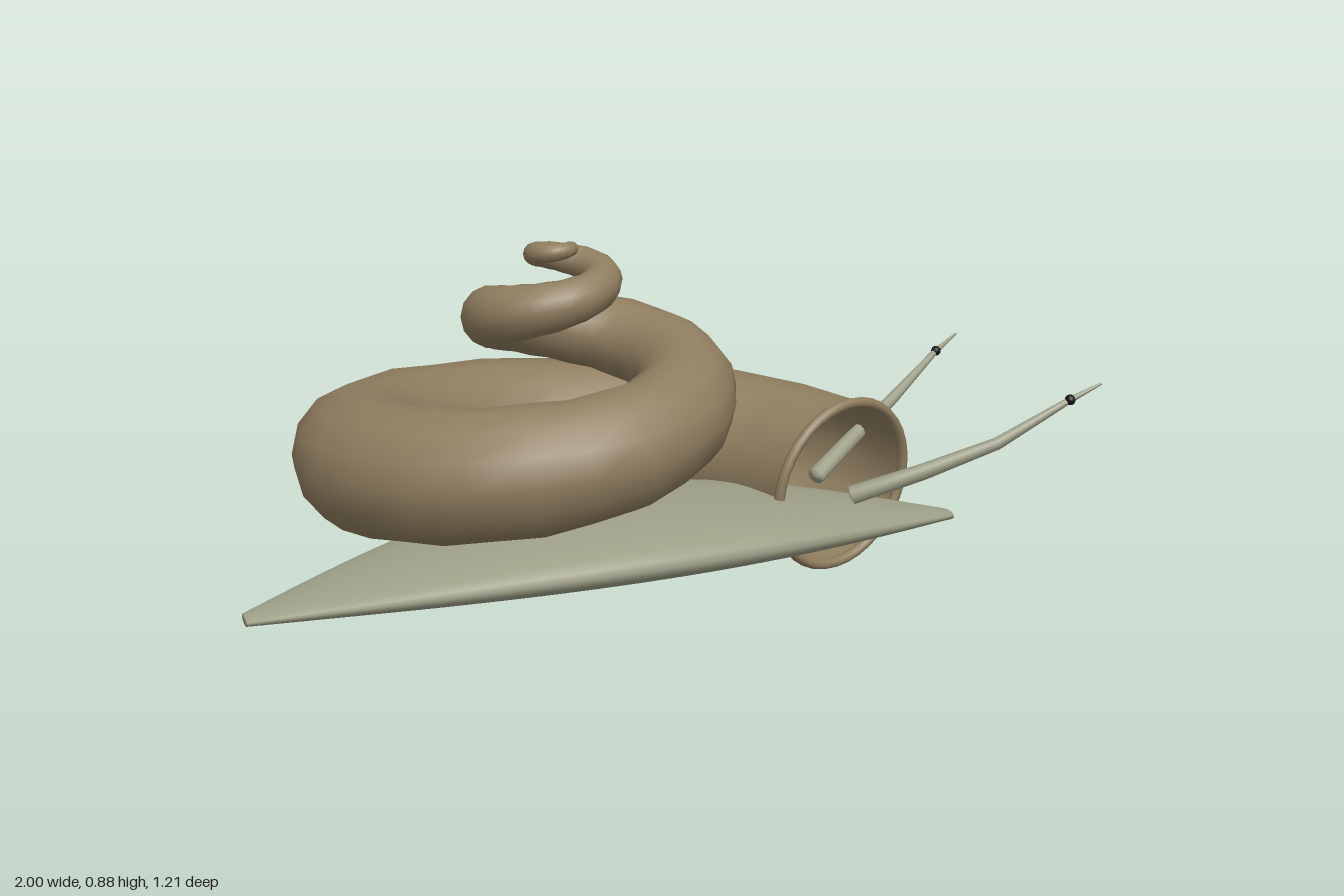
import * as THREE from 'three';

const V = (x, y, z) => new THREE.Vector3(x, y, z);

// Skin a list of closed rings (each an array of points) with smooth normals
function loft(rings) {
  const n = rings[0].length, index = [];
  for (let i = 0; i < rings.length - 1; i++) {
    for (let j = 0; j < n; j++) {
      const a = i * n + j, b = i * n + (j + 1) % n;
      index.push(a, b, a + n, b, b + n, a + n);
    }
  }
  const geo = new THREE.BufferGeometry().setFromPoints(rings.flat());
  geo.setIndex(index);
  geo.computeVertexNormals();
  return geo;
}

// Sweep a circle of varying radius along a list of points
function sweep(points, radii, sides) {
  return loft(points.map((p, i) => {
    const t = points[Math.min(i + 1, points.length - 1)].clone()
      .sub(points[Math.max(i - 1, 0)]).normalize();
    const e1 = V(0, 1, 0).cross(t).normalize();
    const e2 = t.clone().cross(e1);
    return Array.from({ length: sides }, (_, j) => {
      const a = j / sides * Math.PI * 2;
      return p.clone().addScaledVector(e1, radii[i] * Math.cos(a))
        .addScaledVector(e2, radii[i] * Math.sin(a));
    });
  }));
}

export function createModel() {
  const group = new THREE.Group();
  const shellMat = new THREE.MeshStandardMaterial({ color: 0x8f7d5f, side: THREE.DoubleSide });
  const bodyMat = new THREE.MeshStandardMaterial({ color: 0x9fa088 });
  const eyeMat = new THREE.MeshStandardMaterial({ color: 0x111111 });
  const add = (name, geo, mat, parent = group) => {
    const mesh = new THREE.Mesh(geo, mat);
    mesh.name = name;
    parent.add(mesh);
    return mesh;
  };

  // Shell: a tapering coil, given per quarter turn from mouth to apex
  const dist = [.74, .55, .43, .34, .255, .185, .143, .112, .087, .068, .052, .038, .02];
  const height = [.225, .31, .41, .49, .595, .665, .725, .77, .81, .838, .855, .864, .868];
  const radius = [.21, .18, .153, .13, .1, .08, .066, .05, .04, .031, .023, .017, .01];
  const table = new THREE.CatmullRomCurve3(
    dist.map((d, i) => V(d, height[i], radius[i])), false, 'catmullrom');
  const steps = 72, path = [], radii = [];
  for (let i = 0; i <= steps; i++) {
    const s = table.getPoint(i / steps), a = i / steps * 6 * Math.PI;
    path.push(V(-.26 + s.x * Math.cos(a), s.y, .135 - s.x * Math.sin(a)));
    radii.push(s.z * (1 + (i % 2 ? -.02 : .015) * Math.min(1, i / 8)));
  }
  path.push(path[steps].clone().lerp(path[steps - 1], -.3));
  radii.push(0);
  add('shell', sweep(path, radii, 14), shellMat);

  // Lip around the shell mouth
  const lip = add('shellLip', new THREE.TorusGeometry(.212, .013, 8, 36), shellMat);
  lip.position.copy(path[0]);
  lip.quaternion.setFromUnitVectors(V(0, 0, 1), V(.25, -.1, .97).normalize());

  // Foot: a leaf-shaped lens, arched along its length
  const rings = [];
  const segs = 28, sides = 24;
  for (let i = 0; i <= segs; i++) {
    const u = i / segs * 2 - 1, c = Math.cos(u * Math.PI / 2);
    const edge = .11 + .085 * c, top = .12 + .138 * c, bottom = .097 + .02 * c;
    rings.push(Array.from({ length: sides }, (_, j) => {
      const a = j / sides * Math.PI * 2, k = Math.cos(a);
      const y = edge + k * (k > 0 ? top - edge : edge - bottom);
      return V(-.105 + .895 * u, y, .143 + (.028 + .267 * c) * Math.sin(a));
    }));
  }
  const tip = (x) => Array.from({ length: sides }, () => V(x, .109, .143));
  add('foot', loft([tip(-1), ...rings, tip(.79)]), bodyMat);

  // Eye stalks, mirrored across the body's long axis
  for (const side of [1, -1]) {
    const stalk = new THREE.Group();
    stalk.name = side > 0 ? 'rightStalk' : 'leftStalk';
    stalk.position.z = .143;
    group.add(stalk);
    const pts = [[.445, .225, .085], [.45, .228, .087], [.6, .29, .165], [.76, .36, .235],
      [.925, .463, .288], [.999, .5, .307], [1, .5, .308]].map(([x, y, z]) => V(x, y, z * side));
    add('stalk', sweep(pts, [0, .023, .02, .015, .008, .003, 0], 10), bodyMat, stalk);
    add('eye', new THREE.SphereGeometry(.013, 12, 8), eyeMat, stalk).position.copy(pts[4]);
  }
  return group;
}
